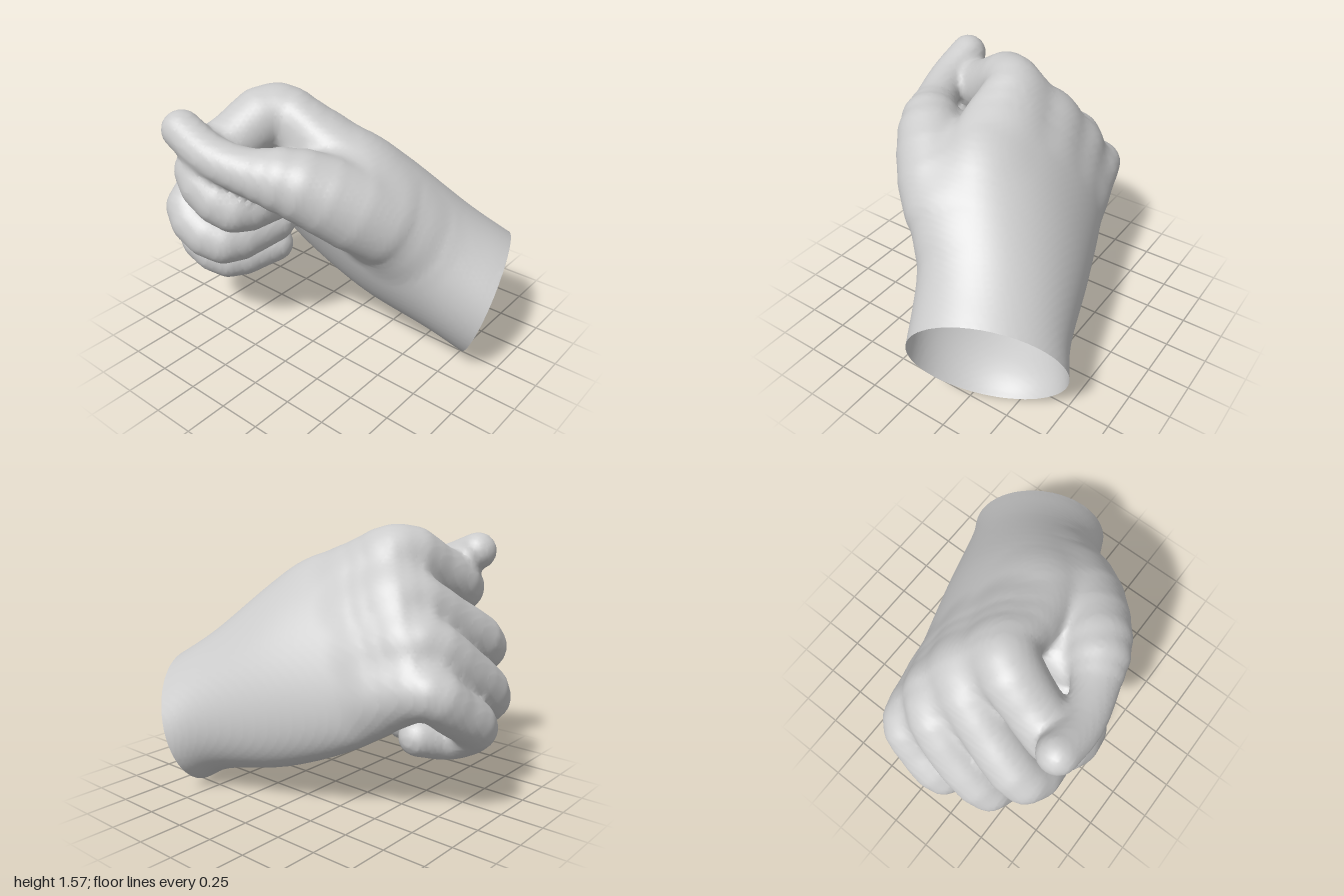
import * as THREE from 'three';

const CELL = 0.024;
const LOW = [-0.88, -0.08, -1.08];
const SIZE = [74, 73, 91];
const RINGS = 40;
const skin = new THREE.MeshStandardMaterial({ color: 0xcccccc, side: THREE.DoubleSide });
const vec = (a) => new THREE.Vector3(a[0], a[1], a[2]);
const spline = (list) => new THREE.CatmullRomCurve3(list.map(vec), false, 'catmullrom', 0.5);

// Wrist and palm: centre, half width (towards the thumb), half thickness (towards the back)
const SECTIONS = [
  [[0.405, 0.37, 0.79], [-0.20, 0.32, 0.20], [0.34, 0.19, -0.09]],
  [[0.31, 0.50, 0.60], [-0.23, 0.36, 0.17], [0.32, 0.20, -0.08]],
  [[0.15, 0.735, 0.20], [-0.28, 0.50, 0.20], [0.30, 0.20, -0.08]],
  [[0.05, 0.925, -0.21], [-0.27, 0.50, 0.23], [0.23, 0.16, -0.05]],
  [[0.01, 1.08, -0.50], [-0.20, 0.42, 0.26], [0.15, 0.11, -0.03]],
  [[-0.02, 1.07, -0.59], [-0.18, 0.38, 0.23], [0.11, 0.08, -0.02]],
  [[-0.05, 1.06, -0.65], [-0.13, 0.28, 0.17], [0.06, 0.05, -0.01]],
];

// Limbs: joints as [x, y, z, radius] from the buried base to the tip
const LIMBS = {
  thumbWeb: [[-0.05, 1.10, 0.15, 0.16], [-0.25, 1.12, 0.00, 0.16], [-0.42, 1.12, -0.06, 0.13]],
  thumb: [[0.14, 0.68, 0.60, 0.10], [-0.15, 0.95, 0.40, 0.23], [-0.45, 1.18, 0.13, 0.195],
    [-0.60, 1.24, -0.10, 0.13], [-0.67, 1.30, -0.32, 0.115], [-0.67, 1.39, -0.53, 0.11]],
  indexFinger: [[-0.06, 1.26, -0.10, 0.12], [-0.19, 1.395, -0.31, 0.17], [-0.40, 1.30, -0.39, 0.16],
    [-0.64, 1.17, -0.43, 0.15], [-0.62, 1.01, -0.22, 0.14], [-0.34, 1.01, -0.13, 0.125]],
  middleFinger: [[0.07, 1.07, -0.25, 0.12], [-0.03, 1.17, -0.47, 0.16], [-0.28, 1.03, -0.585, 0.155],
    [-0.565, 0.85, -0.64, 0.15], [-0.545, 0.71, -0.41, 0.145], [-0.23, 0.73, -0.31, 0.125]],
  ringFinger: [[0.15, 0.88, -0.40, 0.12], [0.07, 0.97, -0.64, 0.155], [-0.16, 0.80, -0.755, 0.15],
    [-0.415, 0.60, -0.775, 0.14], [-0.375, 0.455, -0.57, 0.135], [-0.10, 0.47, -0.44, 0.115]],
  littleFinger: [[0.23, 0.70, -0.52, 0.11], [0.18, 0.75, -0.77, 0.14], [0.04, 0.64, -0.845, 0.135],
    [-0.14, 0.51, -0.865, 0.13], [-0.16, 0.40, -0.70, 0.12], [0.00, 0.43, -0.60, 0.11]],
};

// Signed distance to the tapering elliptical palm, endless beyond the wrist
function palmDistance() {
  const [centers, widths, depths] = [0, 1, 2].map((k) => spline(SECTIONS.map((s) => s[k])));
  const rings = Array.from({ length: RINGS + 1 }, (_, i) => {
    const [c, w, t] = [centers, widths, depths].map((curve) => curve.getPoint(i / RINGS));
    const n = w.clone().cross(t).normalize();
    const u = t.clone().cross(n), v = n.clone().cross(w);
    u.divideScalar(w.dot(u));
    v.divideScalar(t.dot(v));
    return { c, n, u, v };
  });
  const rel = new THREE.Vector3(), u = new THREE.Vector3(), v = new THREE.Vector3();
  const height = (p, ring) => rel.subVectors(p, ring.c).dot(ring.n);
  const distance = (p) => {
    let i = 0, before = height(p, rings[0]), after = before;
    for (; i < RINGS; i++) {
      after = height(p, rings[i + 1]);
      if (after <= 0) break;
      before = after;
    }
    const a = rings[i], b = rings[Math.min(i + 1, RINGS)];
    const s = before <= 0 || i === RINGS ? 0 : before / (before - after);
    rel.lerpVectors(a.c, b.c, s).subVectors(p, rel);
    u.lerpVectors(a.u, b.u, s);
    v.lerpVectors(a.v, b.v, s);
    const x = rel.dot(u), y = rel.dot(v), rho = Math.hypot(x, y) + 1e-6;
    const d = (rho - 1) * rho / (u.multiplyScalar(x).addScaledVector(v, y).length() + 1e-6);
    return i === RINGS ? Math.hypot(Math.max(d, 0), after) : d;
  };
  return { distance, wrist: rings[0], height };
}

// Distance to a round limb and the position along it (0 base, 1 tip)
function limbDistance(joints) {
  const steps = 15;
  const path = spline(joints).getPoints(steps);
  const radii = spline(joints.map((j) => [j[3], 0, 0])).getPoints(steps).map((q) => q.x);
  const ab = new THREE.Vector3(), ap = new THREE.Vector3();
  return (p) => {
    let best = Infinity, along = 0;
    for (let i = 0; i < steps; i++) {
      ab.subVectors(path[i + 1], path[i]);
      ap.subVectors(p, path[i]);
      const h = Math.min(1, Math.max(0, ap.dot(ab) / ab.lengthSq()));
      const d = ap.addScaledVector(ab, -h).length() - radii[i] - h * (radii[i + 1] - radii[i]);
      if (d < best) { best = d; along = (i + h) / steps; }
    }
    return [best, along];
  };
}

// Skin over a field: one point per crossed grid cell, one quad per crossed grid edge
function wrapSkin(field) {
  const [nx, ny, nz] = SIZE, stride = [1, nx, nx * ny];
  const values = new Float32Array(nx * ny * nz), p = new THREE.Vector3();
  const place = (x, y, z) => p.set(LOW[0] + x * CELL, LOW[1] + y * CELL, LOW[2] + z * CELL);
  const cells = (visit) => {
    for (let z = 0; z < nz; z++) for (let y = 0; y < ny; y++) for (let x = 0; x < nx; x++) {
      visit(x, y, z, x + y * nx + z * nx * ny);
    }
  };
  cells((x, y, z, g) => { values[g] = field(place(x, y, z)); });
  const ids = new Int32Array(values.length).fill(-1), points = [], quads = [];
  cells((x, y, z, g) => {
    if (x === nx - 1 || y === ny - 1 || z === nz - 1) return;
    const sum = new THREE.Vector3();
    let count = 0;
    for (let c = 0; c < 8; c++) for (let a = 0; a < 3; a++) {
      if (c & (1 << a)) continue;
      const o = [c & 1, (c >> 1) & 1, c >> 2];
      const q = g + o[0] + o[1] * stride[1] + o[2] * stride[2];
      const v0 = values[q], v1 = values[q + stride[a]];
      if ((v0 < 0) === (v1 < 0)) continue;
      o[a] = v0 / (v0 - v1);
      sum.add(place(x + o[0], y + o[1], z + o[2]));
      count++;
    }
    if (count) { ids[g] = points.length; points.push(sum.divideScalar(count)); }
  });
  cells((x, y, z, g) => {
    for (let a = 0; a < 3; a++) {
      const at = [x, y, z], sb = stride[(a + 1) % 3], sc = stride[(a + 2) % 3];
      if (at[a] >= SIZE[a] - 1 || !at[(a + 1) % 3] || !at[(a + 2) % 3]) continue;
      if ((values[g] < 0) === (values[g + stride[a]] < 0)) continue;
      const quad = [g - sb - sc, g - sc, g, g - sb].map((k) => ids[k]);
      if (quad.some((k) => k < 0)) continue;
      quads.push(values[g] < 0 ? quad : quad.reverse());
    }
  });
  return { points, quads };
}

export function createModel() {
  const palm = palmDistance();
  const names = Object.keys(LIMBS), limbs = Object.values(LIMBS).map(limbDistance);

  // Blend limbs into the palm, softly at their base and crisply at their tip
  const field = (p) => limbs.reduce((d, limb) => {
    const [e, along] = limb(p);
    const k = 0.012 + 0.15 * (1 - along) ** 2.6;
    const h = Math.max(k - Math.abs(d - e), 0);
    return Math.min(d, e) - h * h / (4 * k);
  }, palm.distance(p));
  const { points, quads } = wrapSkin(field);

  // Cut the wrist open along its plane
  const beyond = points.map((p) => {
    const h = palm.height(p, palm.wrist);
    if (h < 0) p.addScaledVector(palm.wrist.n, -h);
    return h < 0;
  });
  const triangles = quads.flatMap(([a, b, c, d]) => [[a, b, c], [a, c, d]])
    .filter((t) => !t.every((k) => beyond[k]));
  const whole = new THREE.BufferGeometry().setFromPoints(points);
  whole.setIndex(triangles.flat());
  whole.computeVertexNormals();

  // Share the skin out to named parts by nearest limb
  const parts = { wristAndPalm: [] };
  names.forEach((name) => { parts[name] = []; });
  const owner = points.map((p) => {
    let best = palm.distance(p), name = 'wristAndPalm';
    limbs.forEach((limb, i) => {
      const d = limb(p)[0];
      if (d < best) { best = d; name = names[i]; }
    });
    return name;
  });
  triangles.forEach((t) => parts[owner[t[0]]].push(...t));

  const group = new THREE.Group();
  for (const [name, index] of Object.entries(parts)) {
    if (!index.length) continue;
    const geo = new THREE.BufferGeometry();
    geo.setAttribute('position', whole.getAttribute('position'));
    geo.setAttribute('normal', whole.getAttribute('normal'));
    geo.setIndex(index);
    const mesh = new THREE.Mesh(geo, skin);
    mesh.name = name;
    group.add(mesh);
  }
  return group;
}
